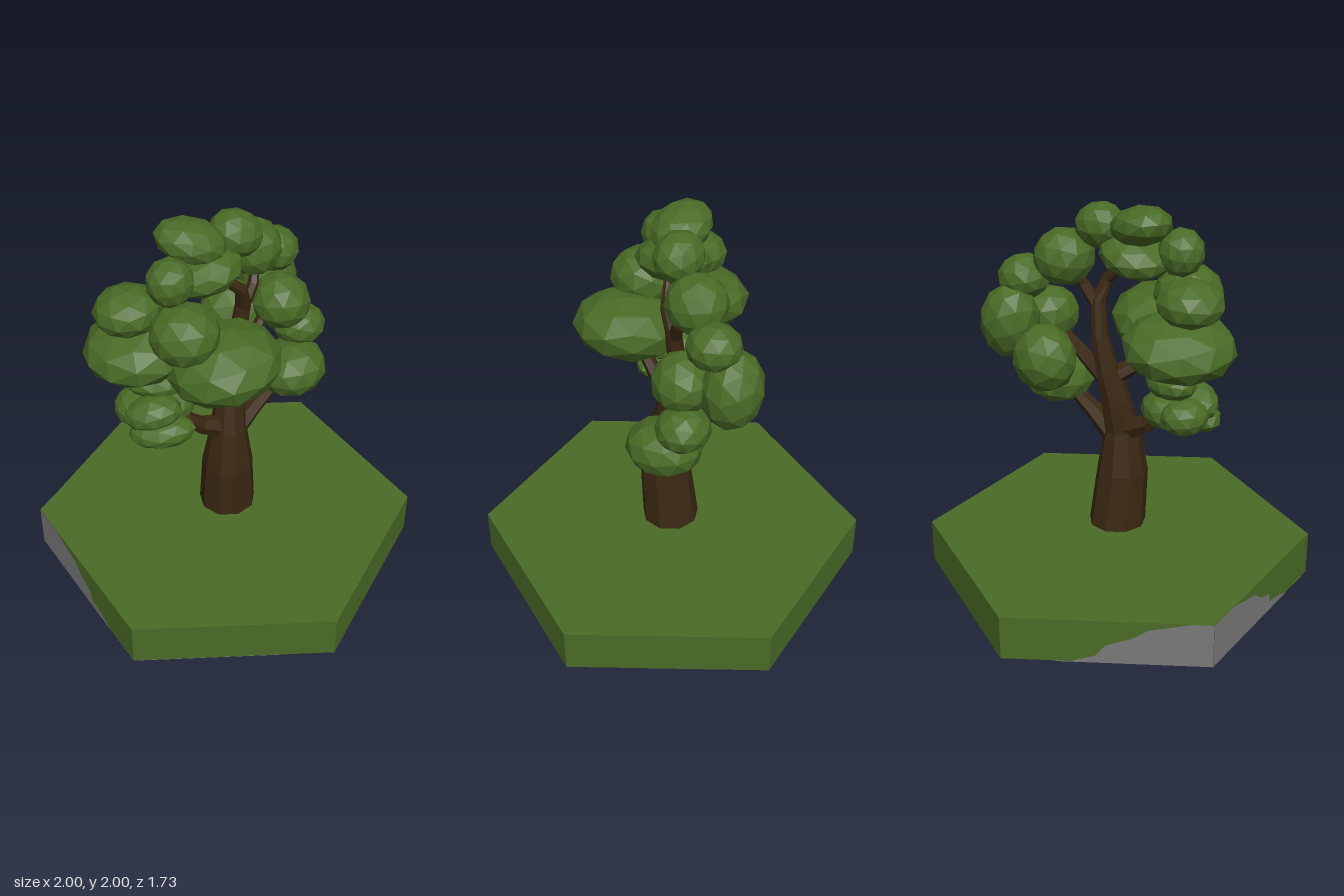
import * as THREE from 'three';

const mat = (name, color, extra = {}) => {
  const m = new THREE.MeshStandardMaterial({ color, ...extra });
  m.name = name;
  return m;
};

// Tapered faceted limb through points [x, y, z, radius]
function limbGeometry(points, sides) {
  const centres = points.map(p => new THREE.Vector3(p[0], p[1], p[2]));
  const up = new THREE.Vector3(0, 1, 0);
  const pos = [], index = [];
  points.forEach((p, i) => {
    const tangent = centres[Math.min(i + 1, points.length - 1)].clone()
      .sub(centres[Math.max(i - 1, 0)]).normalize();
    if (i === 0 && p[1] < 0.3) tangent.copy(up); // level foot
    const q = new THREE.Quaternion().setFromUnitVectors(up, tangent);
    for (let s = 0; s < sides; s++) {
      const a = (s + 0.5) / sides * Math.PI * 2;
      const v = new THREE.Vector3(Math.sin(a) * p[3], 0, Math.cos(a) * p[3])
        .applyQuaternion(q).add(centres[i]);
      pos.push(v.x, v.y, v.z);
    }
  });
  const last = (points.length - 1) * sides;
  for (let i = 0; i < points.length - 1; i++) {
    for (let s = 0; s < sides; s++) {
      const a = i * sides + s, b = i * sides + (s + 1) % sides;
      index.push(a, b, b + sides, a, b + sides, a + sides);
    }
  }
  for (let s = 1; s < sides - 1; s++) { // end caps
    index.push(0, s + 1, s, last, last + s, last + s + 1);
  }
  const g = new THREE.BufferGeometry();
  g.setAttribute('position', new THREE.Float32BufferAttribute(pos, 3));
  g.setIndex(index);
  g.computeVertexNormals();
  return g;
}

export function createModel() {
  const model = new THREE.Group();
  model.name = 'treeOnHexTile';
  const green = mat('leafGreen', 0x4a6b26, { flatShading: true });
  const bark = mat('barkBrown', 0x3a2812, { flatShading: true });
  const stone = mat('stoneGrey', 0x7a7a7a, { side: THREE.DoubleSide });
  const add = (name, geometry, material, parent = model) => {
    const mesh = new THREE.Mesh(geometry, material);
    mesh.name = name;
    parent.add(mesh);
    return mesh;
  };

  // Hexagonal ground tile with corners on the x axis
  const R = 0.997, H = 0.23;
  const tile = add('groundTile', new THREE.CylinderGeometry(R, R, H - 0.002, 6).rotateY(Math.PI / 2), green);
  tile.position.y = H / 2 + 0.001;

  // Ragged stone patch wrapping the -x corner: two sides and the underside
  const plate = (name, pts) => add(name, new THREE.ShapeGeometry(
    new THREE.Shape(pts.map(p => new THREE.Vector2(...p)))), stone);
  const edges = {
    stonePatchFront: [1, [[0.2, H], [0.3, 0.2], [0.4, 0.18], [0.48, 0.12], [0.56, 0.1], [0.57, 0.05], [0.68, 0.03], [0.76, 0]]],
    stonePatchBack: [-1, [[0.1, H], [0.3, 0.19], [0.38, 0.14], [0.5, 0.1], [0.55, 0.04], [0.68, 0]]],
  };
  for (const [name, [side, pts]] of Object.entries(edges)) {
    const m = plate(name, [[0, 0], [0, H], ...pts]);
    m.rotation.y = -side * Math.PI / 3;
    m.position.set(-R - 0.002, 0, side * 0.001);
  }
  plate('stonePatchUnderside', [[-R, 0], [-R / 2, 0.863], [0.26, 0.863], [0.14, 0.7], [-0.01, 0.58],
    [-0.16, 0.53], [-0.12, 0.4], [-0.21, 0.27], [-0.13, 0.1], [-0.27, -0.04], [-0.42, -0.2],
    [-0.49, -0.47], [-0.63, -0.64]]).geometry.rotateX(Math.PI / 2);

  // Trunk and limbs
  const limbs = {
    trunk: [[0.01, 0.28, 0, 0.148], [0.01, 0.57, 0.03, 0.133], [0.015, 0.8, 0.03, 0.092], [0.02, 0.95, 0, 0.077],
      [0.04, 1.12, -0.04, 0.06], [0.065, 1.3, -0.07, 0.045], [0.09, 1.48, -0.065, 0.04],
      [0.075, 1.59, -0.02, 0.032], [-0.02, 1.69, 0.03, 0.02]],
    lowLeftLimb: [[0.05, 0.76, 0, 0.06], [0.15, 0.86, -0.06, 0.048], [0.3, 0.99, -0.15, 0.03]],
    lowRightLimb: [[0, 0.8, 0.03, 0.065], [-0.13, 0.87, 0.1, 0.045], [-0.2, 0.95, 0.14, 0.035], [-0.28, 1.02, 0.18, 0.02]],
    frontLimb: [[0.04, 1.08, -0.03, 0.05], [0, 1.14, 0.09, 0.042], [-0.04, 1.27, 0.22, 0.025]],
    backLimb: [[0.04, 1.06, -0.03, 0.05], [0.11, 1.18, -0.12, 0.038], [0.21, 1.33, -0.22, 0.025]],
    upperLimb: [[0.08, 1.44, -0.065, 0.035], [0.14, 1.56, -0.12, 0.028], [0.16, 1.68, -0.2, 0.018]],
  };
  for (const [name, pts] of Object.entries(limbs)) {
    add(name, limbGeometry(pts, name === 'trunk' ? 9 : 6), bark);
  }

  // Leaf clumps: x, y, z, half sizes, tilt about z
  const clumps = [
    [-0.16, 1.9, 0.04, 0.17, 0.095, 0.14, -0.25],
    [0.05, 1.87, -0.07, 0.13, 0.11, 0.12, -0.3],
    [-0.1, 1.75, 0.05, 0.18, 0.1, 0.18, 0.25],
    [-0.26, 1.78, 0.2, 0.11, 0.115, 0.11, 0],
    [0.14, 1.71, -0.22, 0.145, 0.14, 0.15, -0.3],
    [0.26, 1.6, -0.38, 0.125, 0.11, 0.13, 0],
    [0.24, 1.39, -0.47, 0.15, 0.19, 0.145, 0.2],
    [0.29, 1.38, -0.24, 0.15, 0.14, 0.15, -0.4],
    [0.06, 1.24, -0.37, 0.18, 0.165, 0.15, 0],
    [0.39, 1.2, -0.3, 0.135, 0.105, 0.13, 0],
    [0.345, 1.02, -0.17, 0.18, 0.135, 0.185, 0.15],
    [-0.02, 1.37, 0.26, 0.27, 0.165, 0.27, 0.17],
    [-0.42, 1.38, 0.11, 0.26, 0.15, 0.27, 0.12],
    [-0.46, 1.6, 0.14, 0.16, 0.11, 0.16, 0.08],
    [-0.2, 1.55, 0.28, 0.165, 0.145, 0.17, 0],
    [-0.35, 1.17, 0.11, 0.15, 0.075, 0.11, -0.1],
    [-0.36, 1.07, 0.24, 0.14, 0.085, 0.1, 0.2],
    [-0.32, 0.98, 0.27, 0.16, 0.075, 0.1, 0.1],
    [-0.45, 1.03, 0.13, 0.1, 0.09, 0.12, 0],
    [-0.29, 1.01, 0.1, 0.13, 0.09, 0.1, 0],
  ];
  const foliage = new THREE.Group();
  foliage.name = 'foliage';
  model.add(foliage);
  clumps.forEach(([x, y, z, a, b, c, tilt], i) => {
    const g = new THREE.IcosahedronGeometry(1.03, 1).rotateY(i * 1.7).rotateX(i * 0.9);
    g.scale(a, b, c).rotateZ(tilt);
    g.computeVertexNormals();
    add('leafClump' + (i + 1), g, green, foliage).position.set(x, y, z);
  });
  return model;
}
